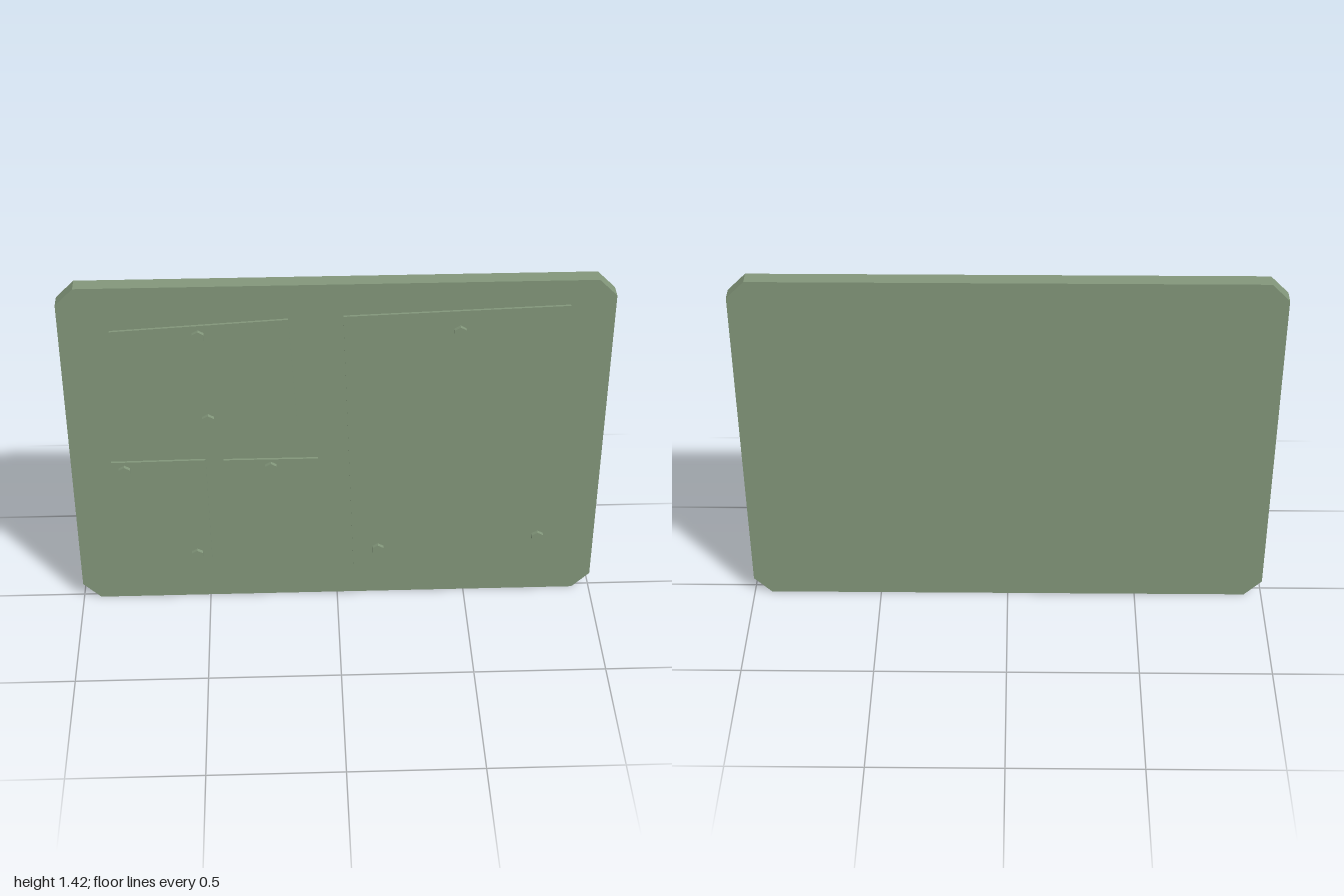
import * as THREE from 'three';

const material = new THREE.MeshStandardMaterial({ color: 0x82967a, flatShading: true });
const HEIGHT = 1.425;
const BACK = -0.04, FACE = 0.018, NOTE_FRONT = 0.027, PIN_FRONT = 0.042;

// Flat panel with chamfered corners
function makeBoard() {
  const c = 0.067;
  const shape = new THREE.Shape([
    [-1 + c, 0], [1 - c, 0], [1, c], [1, HEIGHT - c],
    [1 - c, HEIGHT], [-1 + c, HEIGHT], [-1, HEIGHT - c], [-1, c],
  ].map(([x, y]) => new THREE.Vector2(x, y)));
  const geometry = new THREE.ExtrudeGeometry(shape, { depth: FACE - BACK, bevelEnabled: false });
  const board = new THREE.Mesh(geometry.translate(0, 0, BACK), material);
  board.name = 'board';
  return board;
}

export function createModel() {
  const group = new THREE.Group();
  group.name = 'noticeBoard';
  group.add(makeBoard());

  // Thin paper sheets: centre x, centre y, width, height, tilt in degrees
  const notes = [
    [-0.482, 1.04, 0.642, 0.456, 3.5],
    [-0.668, 0.42, 0.355, 0.495, 0.8],
    [-0.25, 0.42, 0.355, 0.495, 0],
    [0.45, 0.734, 0.815, 1.152, 2.05],
  ];
  const depth = NOTE_FRONT - FACE;
  notes.forEach(([x, y, w, h, tilt], i) => {
    const note = new THREE.Mesh(new THREE.BoxGeometry(w, h, depth), material);
    note.name = `note${i + 1}`;
    note.position.set(x, y, FACE + depth / 2);
    note.rotation.z = THREE.MathUtils.degToRad(tilt);
    group.add(note);
  });

  // Six-sided pins holding the sheets
  const pins = [
    [-0.5, 1.225], [-0.477, 0.857], [-0.8, 0.627], [-0.543, 0.218],
    [-0.25, 0.632], [0.443, 1.225], [0.158, 0.225], [0.778, 0.272],
  ];
  const length = PIN_FRONT - FACE;
  const pinGeometry = new THREE.CylinderGeometry(0.025, 0.025, length, 6).rotateX(Math.PI / 2);
  pins.forEach(([x, y], i) => {
    const pin = new THREE.Mesh(pinGeometry, material);
    pin.name = `pin${i + 1}`;
    pin.position.set(x, y, FACE + length / 2);
    group.add(pin);
  });

  return group;
}
